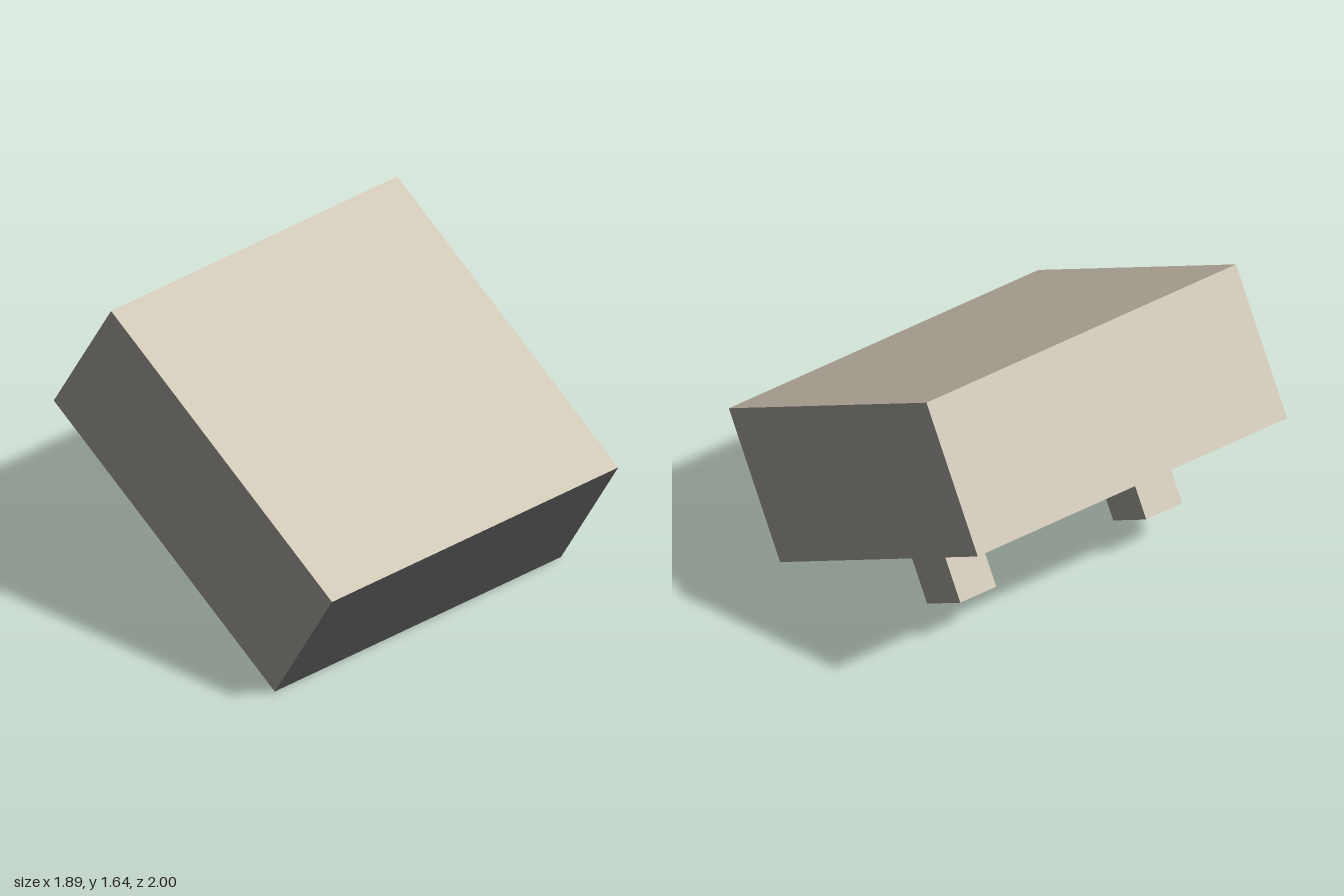
import * as THREE from 'three';

export function createModel() {
  const paint = (name, color) => {
    const m = new THREE.MeshStandardMaterial({ color });
    m.name = name;
    return m;
  };
  const cream = paint('cream', 0xc4bcaa);
  const grey = paint('warm grey', 0x9a978e);
  const dark = paint('dark grey', 0x656564);

  // Face order: +x, -x, top, bottom, front, back
  const faces = [grey, grey, cream, dark, dark, cream];
  const block = (name, w, h, d, x, y) => {
    const mesh = new THREE.Mesh(new THREE.BoxGeometry(w, h, d), faces);
    mesh.name = name;
    mesh.position.set(x, y, 0);
    return mesh;
  };

  // Whole block leans forward, resting on its lower front edge
  const tilted = new THREE.Group();
  tilted.name = 'tiltedBlock';
  tilted.position.y = 0.82;
  tilted.rotation.x = 0.54;

  tilted.add(block('body', 1.89, 0.8, 1.85, 0, 0));

  // Pair of short square feet under the body
  for (const side of [-1, 1]) {
    tilted.add(block(side > 0 ? 'leftFoot' : 'rightFoot', 0.22, 0.33, 0.31, side * 0.568, -0.565));
  }

  const model = new THREE.Group();
  model.name = 'model';
  model.add(tilted);
  return model;
}
